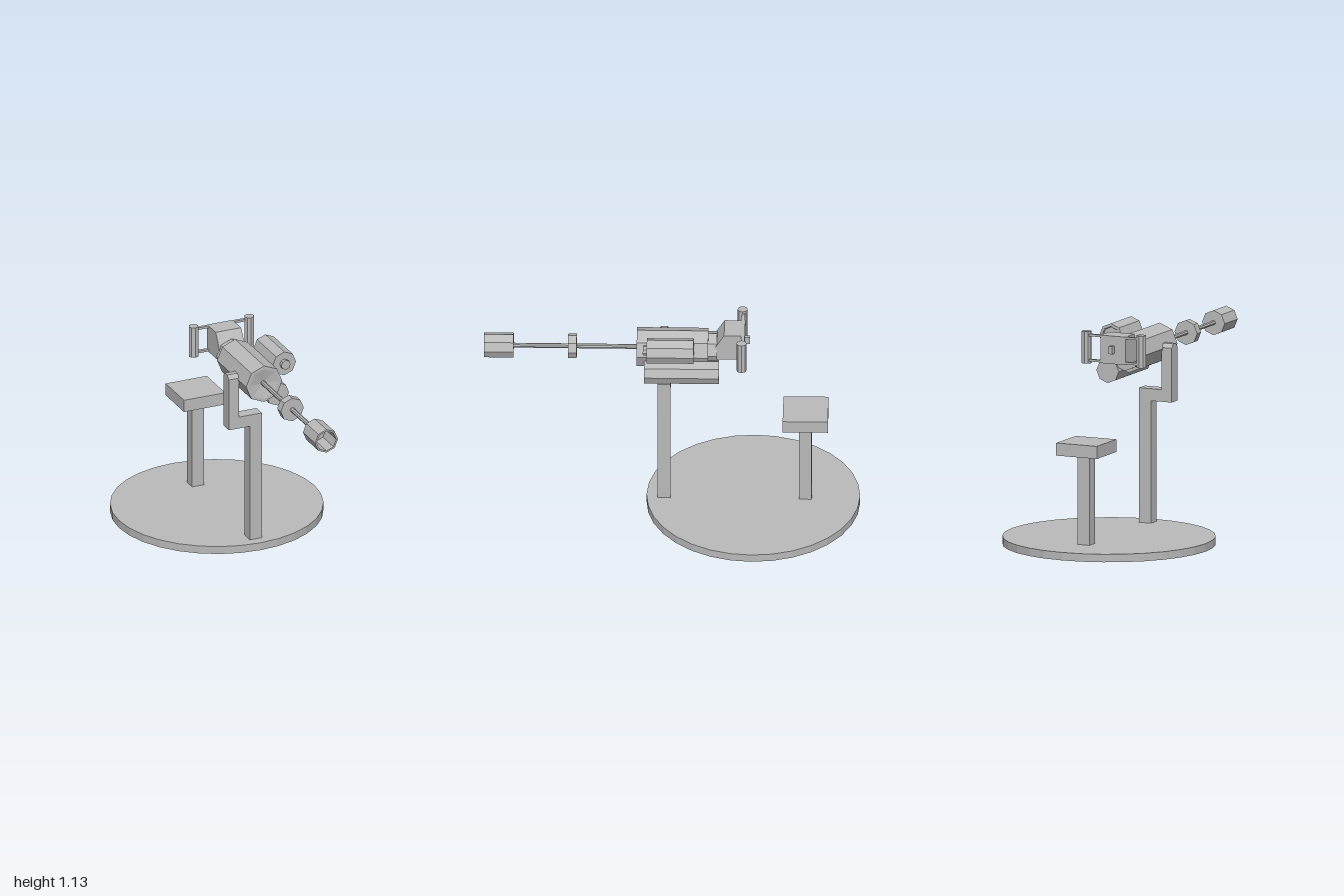
import * as THREE from 'three';

export function createModel() {
  const model = new THREE.Group();
  const grey = new THREE.MeshStandardMaterial({ color: 0xbababa, flatShading: true });
  grey.name = 'plain grey';

  const add = (name, geometry, x = 0, y = 0, z = 0) => {
    const mesh = new THREE.Mesh(geometry, grey);
    mesh.name = name;
    mesh.position.set(x, y, z);
    model.add(mesh);
    return mesh;
  };
  // box given by its limits on each axis
  const box = (name, [x0, x1], [y0, y1], [z0, z1]) =>
    add(name, new THREE.BoxGeometry(x1 - x0, y1 - y0, z1 - z0),
      (x0 + x1) / 2, (y0 + y1) / 2, (z0 + z1) / 2);
  // eight-sided turned part along z, from [radius, z] pairs, back to front
  const turned = (name, x, y, profile) => {
    const points = profile.map(([r, z]) => new THREE.Vector2(r, z));
    return add(name, new THREE.LatheGeometry(points, 8).rotateX(Math.PI / 2), x, y, 0);
  };
  const rod = (name, x, y, r, z0, z1) =>
    turned(name, x, y, [[0, z0], [r, z0], [r, z1], [0, z1]]);
  // side outline in (z, y), extruded across x
  const sideProfile = (name, outline, x0, x1) => {
    const shape = new THREE.Shape(outline.map(([z, y]) => new THREE.Vector2(z, y)));
    const geometry = new THREE.ExtrudeGeometry(shape, { depth: x1 - x0, bevelEnabled: false });
    return add(name, geometry.rotateY(-Math.PI / 2), x1, 0, 0);
  };

  // Round platform
  add('platform', new THREE.CylinderGeometry(0.568, 0.568, 0.043, 32), 0, 0.0215, -0.432);

  // Seat on its post
  box('seatPost', [-0.035, 0.035], [0.04, 0.535], [-0.743, -0.675]);
  box('seat', [-0.12, 0.12], [0.53, 0.598], [-0.83, -0.59]);

  // Cranked mount: post and crossbar, then the chamfered upright arm
  const crank = new THREE.Shape([
    [-0.035, 0.04], [0.035, 0.04], [0.035, 0.77], [-0.157, 0.77], [-0.157, 0.704], [-0.035, 0.704],
  ].map(([x, y]) => new THREE.Vector2(x, y)));
  add('mountPost', new THREE.ExtrudeGeometry(crank, { depth: 0.07, bevelEnabled: false }), 0, 0, 0.008);
  sideProfile('mountArm', [
    [0.008, 0.77], [0.078, 0.77], [0.078, 0.997], [0.058, 1.018], [0.028, 1.018], [0.008, 0.997],
  ], -0.157, -0.098);

  // Main body with stepped rear and dished front
  const axisY = 0.99;
  turned('body', 0, axisY, [
    [0, -0.24], [0.088, -0.24], [0.088, -0.193], [0.105, -0.193],
    [0.105, 0.187], [0.086, 0.187], [0, 0.168],
  ]);

  // Barrel, collar and hollow muzzle
  rod('barrel', 0, axisY, 0.013, 0.165, 0.87);
  rod('barrelCollar', 0, axisY, 0.067, 0.507, 0.553);
  turned('muzzle', 0, axisY, [
    [0, 0.843], [0.067, 0.843], [0.067, 1], [0.057, 1], [0.057, 0.863], [0, 0.863],
  ]);

  // Side drums
  turned('upperDrum', 0.142, 1.06, [
    [0, -0.11], [0.048, -0.11], [0.052, -0.117], [0.068, -0.117],
    [0.068, 0.132], [0.027, 0.132], [0.027, 0.153], [0, 0.153],
  ]);
  rod('lowerDrum', 0.096, 0.897, 0.066, -0.251, 0.147);

  // Rear control housing with sloped front, and trigger
  sideProfile('rearHousing', [
    [-0.232, 0.963], [-0.232, 1.04], [-0.278, 1.114], [-0.388, 1.114], [-0.388, 0.963],
  ], -0.075, 0.073);
  box('trigger', [-0.01, 0.01], [1.02, 1.062], [-0.415, -0.38]);

  // Paired handles on thin bars
  for (const side of [-1, 1]) {
    add('handle', new THREE.CylinderGeometry(0.027, 0.027, 0.173, 8), side * 0.162, 1.041, -0.372);
    for (const y of [1.108, 0.972]) {
      add('handleBar', new THREE.BoxGeometry(0.1, 0.012, 0.018), side * 0.115, y, -0.377);
    }
  }

  return model;
}
